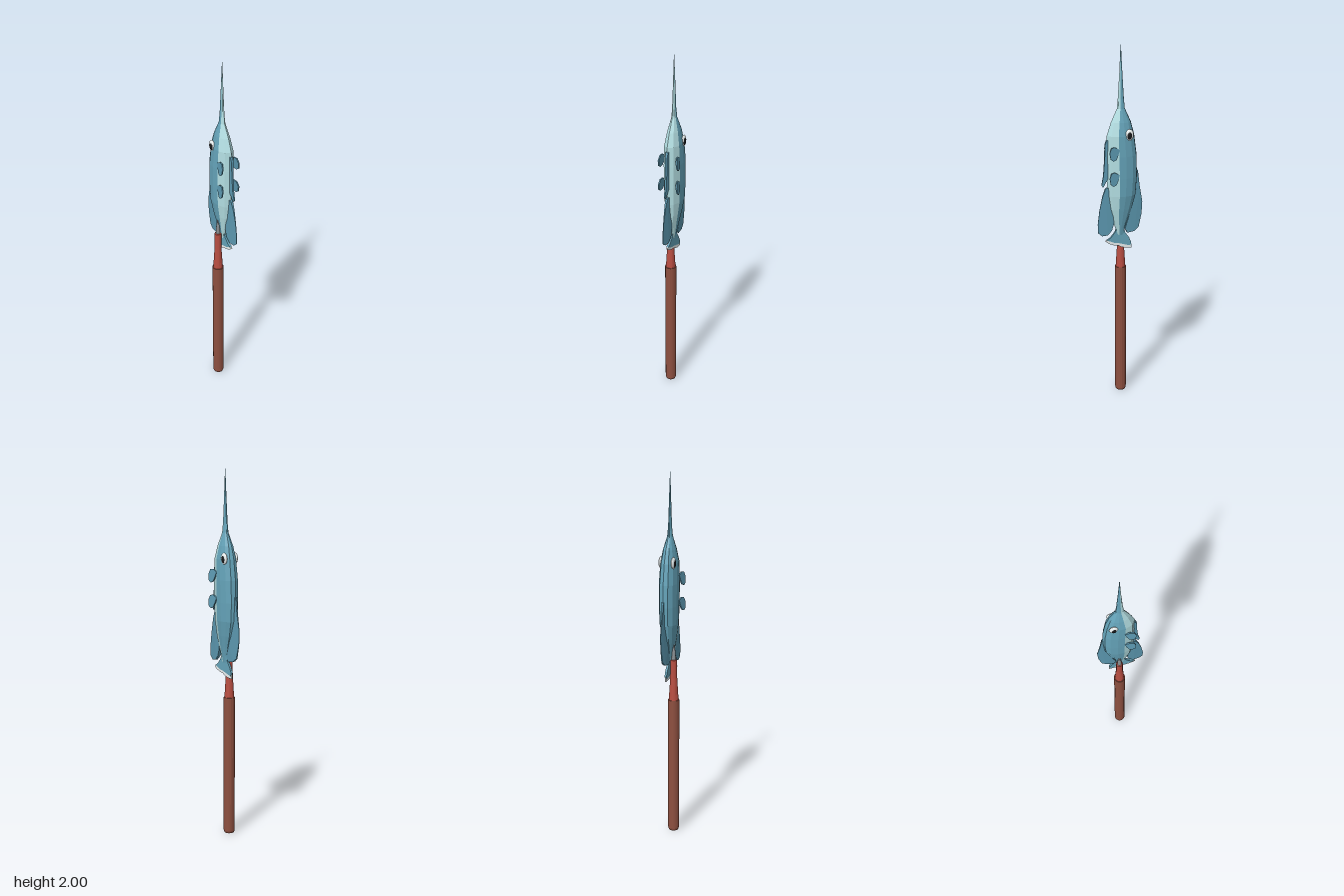
import * as THREE from 'three';

const mat = (color, opts = {}) => new THREE.MeshStandardMaterial({ color, ...opts });
const BLUE = 0x66a5bb, PALE = 0xb4e0e4, FIN = 0x5c98b0, WHITE = 0xeef4f4;

// Body rings from tail root to bill tip: [y, front z, back z, half width]
const RINGS = [
  [0.97, 0.025, -0.02, 0.007], [1.01, 0.03, -0.022, 0.014], [1.06, 0.046, -0.04, 0.022],
  [1.12, 0.062, -0.062, 0.032], [1.2, 0.073, -0.083, 0.043], [1.3, 0.078, -0.09, 0.046],
  [1.42, 0.079, -0.087, 0.047], [1.53, 0.076, -0.073, 0.043], [1.6, 0.053, -0.054, 0.031],
  [1.67, 0.021, -0.022, 0.013], [1.72, 0.016, -0.017, 0.008], [1.85, 0.008, -0.009, 0.005],
  [2.0, 0.001, -0.001, 0.001],
];
// Unit cross-sections (x, z), running counter-clockwise seen from above
const BACK = [[0.96, 0.28], [1, -0.15], [0.86, -0.6], [0.5, -0.9], [0, -1],
  [-0.5, -0.9], [-0.86, -0.6], [-1, -0.15], [-0.96, 0.28]];
const BELLY = [[-0.96, 0.28], [-0.62, 0.76], [0, 1], [0.62, 0.76], [0.96, 0.28]];

function loft(section) {
  const n = section.length, pos = [], index = [];
  for (const [y, zf, zb, w] of RINGS) {
    for (const [u, v] of section) pos.push(u * w, y, (zf + zb) / 2 + v * (zf - zb) / 2);
  }
  for (let r = 0; r < RINGS.length - 1; r++) {
    for (let i = 0; i < n - 1; i++) {
      const a = r * n + i, b = a + 1;
      index.push(a, b, b + n, a, b + n, a + n);
    }
  }
  const g = new THREE.BufferGeometry();
  g.setAttribute('position', new THREE.Float32BufferAttribute(pos, 3));
  g.setIndex(index);
  g.computeVertexNormals();
  return g;
}

// Thin plate outlined in (z, y); warp(x, y, z) returns the new x of each vertex
function plate(outline, thick, warp = (x) => x) {
  const shape = new THREE.Shape(outline.map(([z, y]) => new THREE.Vector2(z, y)));
  const g = new THREE.ExtrudeGeometry(shape, { depth: thick, bevelEnabled: false });
  g.translate(0, 0, -thick / 2).rotateY(-Math.PI / 2);
  const p = g.attributes.position;
  for (let i = 0; i < p.count; i++) p.setX(i, warp(p.getX(i), p.getY(i), p.getZ(i)));
  g.computeVertexNormals();
  return g;
}

export function createModel() {
  const root = new THREE.Group();
  root.name = 'fishOnHandle';
  const add = (name, geometry, color, opts) => {
    const m = new THREE.Mesh(geometry, mat(color, opts));
    m.name = name;
    root.add(m);
    return m;
  };
  const faceted = { flatShading: true, side: THREE.DoubleSide };

  // Handle with softened ends, ferrule and spike
  const turned = (name, profile, color) => {
    const g = new THREE.LatheGeometry(profile.map(([r, y]) => new THREE.Vector2(r, y)), 16);
    add(name, g, color, { flatShading: true }).position.set(-0.024, 0, -0.006);
  };
  turned('handle', [[0, 0], [0.027, 0], [0.031, 0.012], [0.031, 0.775], [0, 0.775]], 0x8e5040);
  turned('ferrule', [[0.027, 0.77], [0.019, 0.9], [0.018, 1.0], [0, 1.005]], 0xb84e42);
  turned('spike', [[0.013, 0.99], [0.009, 1.05], [0, 1.11]], 0x8a8f92);

  // Body with bill, blue back and pale belly
  add('back', loft(BACK), BLUE, faceted);
  add('belly', loft(BELLY), PALE, faceted);

  // Median fins, thinning toward the outer edge
  const thin = (x, y, z) => x * THREE.MathUtils.clamp(1 - (Math.abs(z) - 0.06) / 0.07, 0.15, 1);
  add('frontFin', plate([[0.06, 1.51], [0.078, 1.505], [0.087, 1.48], [0.089, 1.4],
    [0.096, 1.31], [0.106, 1.26], [0.098, 1.248], [0.07, 1.3]], 0.02, thin), FIN, faceted);
  add('lowerFrontFin', plate([[0.06, 1.25], [0.085, 1.24], [0.1, 1.2], [0.118, 1.12],
    [0.128, 1.04], [0.126, 0.99], [0.105, 0.972], [0.075, 0.975], [0.052, 1.0], [0.04, 1.04]],
  0.02, thin), FIN, faceted);
  add('backFin', plate([[-0.07, 1.34], [-0.094, 1.33], [-0.105, 1.24], [-0.121, 1.15],
    [-0.117, 1.08], [-0.1, 1.005], [-0.075, 0.985], [-0.035, 0.98], [-0.022, 1.005],
    [-0.045, 1.08]], 0.02, thin), FIN, faceted);

  // Tail fin with its white rim
  add('tailFin', plate([[0.024, 1.01], [0.035, 0.985], [0.058, 0.957], [0.078, 0.945],
    [0.04, 0.928], [0.01, 0.922], [-0.02, 0.912], [-0.054, 0.902], [-0.058, 0.92],
    [-0.046, 0.95], [-0.022, 0.985], [-0.02, 1.01]], 0.012), BLUE, faceted);
  add('tailRim', plate([[0.078, 0.946], [0.086, 0.938], [0.068, 0.924], [0.04, 0.912],
    [0.015, 0.908], [-0.005, 0.897], [-0.03, 0.89], [-0.06, 0.888], [-0.06, 0.91],
    [-0.02, 0.913], [0.01, 0.923], [0.04, 0.929]], 0.008), WHITE, faceted);

  for (const s of [1, -1]) {
    const side = s > 0 ? 'left' : 'right';
    // Two small paddle fins on each flank, splayed outward
    [1.44, 1.302].forEach((cy, i) => {
      const splay = (x, y, z) => s * (0.038 + x + (cy + 0.035 - y) * 0.1 + z * 0.15);
      add(`${side}PaddleFin${i + 1}`, plate([[0.018, cy + 0.022], [0.045, cy + 0.037],
        [0.064, cy + 0.034], [0.075, cy + 0.008], [0.07, cy - 0.024], [0.055, cy - 0.036],
        [0.038, cy - 0.03], [0.026, cy - 0.005]], 0.007, splay), FIN, faceted);
    });
    // Eyes
    const ball = new THREE.SphereGeometry(1, 16, 12);
    const eye = add(`${side}Eye`, ball, WHITE);
    eye.position.set(s * 0.036, 1.535, -0.037);
    eye.scale.set(0.01, 0.031, 0.023);
    const pupil = add(`${side}Pupil`, ball, 0x17181a);
    pupil.position.set(s * 0.043, 1.532, -0.036);
    pupil.scale.set(0.005, 0.02, 0.013);
  }
  return root;
}
